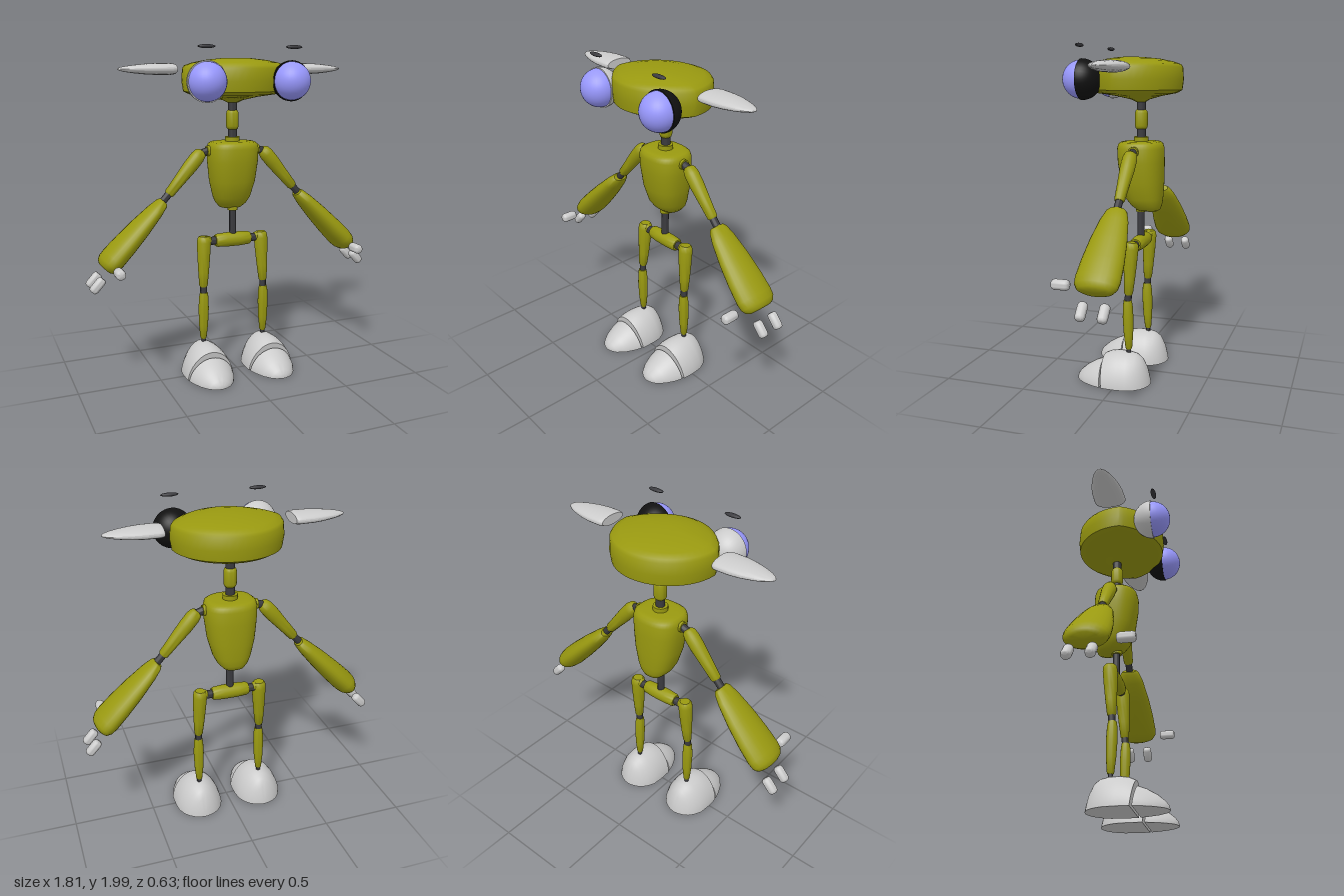
import * as THREE from 'three';
import { toCreasedNormals } from 'three/addons/utils/BufferGeometryUtils.js';

const mat = (color) => new THREE.MeshStandardMaterial({ color, side: THREE.DoubleSide });

export function createModel() {
  const model = new THREE.Group();
  const olive = mat(0x999910), grey = mat(0xcccccc), dark = mat(0x3a3a3e);
  const blue = mat(0x9999ff), black = mat(0x111111);
  const V = (x, y, z) => new THREE.Vector3(x, y, z);

  const add = (name, geometry, material, parent = model) => {
    const mesh = new THREE.Mesh(geometry, material);
    mesh.name = name;
    parent.add(mesh);
    return mesh;
  };

  // Skin over equal-length rings, closed at both ends
  function loft(rings, crease = 0.7) {
    const n = rings[0].length, pos = [], index = [];
    rings.forEach((ring) => ring.forEach((p) => pos.push(p.x, p.y, p.z)));
    for (let i = 0; i < rings.length - 1; i++) {
      for (let j = 0; j < n; j++) {
        const a = i * n + j, b = i * n + (j + 1) % n;
        index.push(a, a + n, b, b, a + n, b + n);
      }
    }
    [0, rings.length - 1].forEach((r, end) => {
      const c = rings[r].reduce((sum, p) => sum.add(p), V(0, 0, 0)).divideScalar(n);
      const k = pos.length / 3;
      pos.push(c.x, c.y, c.z);
      for (let j = 0; j < n; j++) {
        const a = r * n + j, b = r * n + (j + 1) % n;
        if (end) index.push(k, b, a); else index.push(k, a, b);
      }
    });
    const g = new THREE.BufferGeometry();
    g.setAttribute('position', new THREE.Float32BufferAttribute(pos, 3));
    g.setIndex(index);
    return toCreasedNormals(g, crease);
  }

  const ringOf = (n, f) => Array.from({ length: n }, (_, i) => f((i / n) * Math.PI * 2));
  const spow = (v, p) => Math.sign(v) * Math.abs(v) ** p;

  // Turned part between two points; profile is [fraction of length, radius]
  function limb(name, from, to, profile, material, zScale = 1) {
    const d = to.clone().sub(from), len = d.length();
    const pts = [[profile[0][0], 0], ...profile, [profile[profile.length - 1][0], 0]]
      .map(([t, r]) => new THREE.Vector2(r, t * len));
    const mesh = add(name, toCreasedNormals(new THREE.LatheGeometry(pts, 24), 0.8), material);
    mesh.position.copy(from);
    mesh.quaternion.setFromUnitVectors(V(0, 1, 0), d.normalize());
    mesh.scale.z = zScale;
    return mesh;
  }
  const rod = (name, from, to, r, material = dark) => limb(name, from, to, [[0, r], [1, r]], material);
  const rounded = (r) => [[0, r * 0.65], [0.06, r * 0.88], [0.18, r], [0.82, r], [0.94, r * 0.88], [1, r * 0.65]];

  const Z = -0.07; // depth of the skeleton

  // Head: broad disc, round at the back and narrower at the front
  const headRows = [[1.67, 0.1], [1.685, 0.2], [1.705, 0.48], [1.722, 0.85], [1.74, 0.97], [1.8, 1],
    [1.87, 0.985], [1.887, 0.95], [1.902, 0.82], [1.918, 0.58], [1.928, 0.28], [1.93, 0.05]];
  add('head', loft(headRows.map(([y, s]) => ringOf(48, (a) => {
    const c = Math.cos(a), q = Math.sin(a);
    const z = q < 0 ? 0.315 * q : 0.235 * q ** 1.5;
    return V(0.325 * c * s, y, z * s + (y < 1.8 ? Z : 0) * (1 - s));
  }))), olive);

  // Neck
  rod('neckRod', V(0, 1.43, Z), V(0, 1.69, Z), 0.027);
  limb('neckSleeve', V(0, 1.51, Z), V(0, 1.627, Z), rounded(0.038), olive);
  rod('neckCollar', V(0, 1.43, Z), V(0, 1.467, Z), 0.044, olive);

  // Torso: rows of height, half width, front and back
  const torsoRows = [[1.022, 0.03, -0.09, -0.165], [1.032, 0.065, -0.05, -0.185], [1.06, 0.092, -0.015, -0.195],
    [1.1, 0.111, 0.015, -0.2], [1.2, 0.137, 0.045, -0.205], [1.32, 0.151, 0.062, -0.205],
    [1.4, 0.154, 0.065, -0.202], [1.425, 0.147, 0.06, -0.195], [1.437, 0.132, 0.045, -0.18], [1.441, 0.1, 0.02, -0.155]];
  add('torso', loft(torsoRows.map(([y, w, f, b]) => ringOf(40, (a) =>
    V(w * spow(Math.cos(a), 0.8), y, (f + b) / 2 + ((f - b) / 2) * spow(Math.sin(a), 0.8)))), 0.9), olive);

  // Waist and pelvis
  rod('waistRod', V(0, 0.86, Z), V(0, 1.06, Z), 0.022);
  rod('waistCollar', V(0, 1.018, Z), V(0, 1.06, Z), 0.032, olive);
  limb('pelvis', V(-0.115, 0.832, Z), V(0.115, 0.832, Z),
    [[0, 0.034], [0.05, 0.04], [0.3, 0.044], [0.7, 0.044], [0.95, 0.04], [1, 0.034]], olive);

  // Arch-shaped slices from front to back, leaning with height
  const archLoft = (rows) => loft(rows.map(([z, w, h]) => Array.from({ length: 25 }, (_, i) => {
    const a = (i / 24) * Math.PI, y = h * Math.abs(Math.sin(a)) ** 1.2;
    return V(w * Math.cos(a), y + 0.008, z + 0.12 * y);
  })), 0.6);
  const toe = archLoft([[0.262, 0.008, 0.006], [0.253, 0.04, 0.027], [0.235, 0.068, 0.048],
    [0.19, 0.103, 0.083], [0.13, 0.13, 0.116], [0.082, 0.143, 0.134]]);
  const heel = archLoft([[0.07, 0.147, 0.165], [0.03, 0.149, 0.183], [-0.02, 0.149, 0.191], [-0.08, 0.142, 0.19],
    [-0.125, 0.12, 0.182], [-0.155, 0.095, 0.16], [-0.175, 0.065, 0.115], [-0.187, 0.034, 0.06], [-0.192, 0.005, 0.01]]);

  // Ear: flattened blade with a blunt root and pointed tip, growing along +y
  const earRows = [[0, 0.88], [0.012, 0.97], [0.03, 1], [0.11, 0.98], [0.17, 0.88], [0.23, 0.7],
    [0.28, 0.49], [0.31, 0.29], [0.322, 0.12], [0.325, 0.02]];
  const ear = loft(earRows.map(([y, s]) => ringOf(28, (a) =>
    V(0.033 * s * Math.cos(a), y, 0.095 * s * Math.sin(a)))), 0.8);

  for (const s of [-1, 1]) {
    const side = s > 0 ? 'left' : 'right';
    const P = (x, y, z = Z) => V(s * x, y, z);

    // Eye, half-shell lid behind it, and brow
    add(side + 'Eye', new THREE.SphereGeometry(0.109, 32, 24), blue).position.set(s * 0.257, 1.8, 0.203);
    const lid = add(side + 'EyeLid',
      new THREE.SphereGeometry(0.116, 32, 16, 0, Math.PI * 2, 0, Math.PI / 2), s > 0 ? black : grey);
    lid.rotation.x = -Math.PI / 2;
    lid.position.set(s * 0.257, 1.8, 0.203);
    const rim = add(side + 'LidRim', new THREE.RingGeometry(0.106, 0.116, 32), s > 0 ? black : grey);
    rim.position.copy(lid.position);
    const brow = add(side + 'Brow', new THREE.SphereGeometry(1, 20, 12), dark);
    brow.scale.set(0.052, 0.011, 0.016);
    brow.position.set(s * 0.264, 1.989, 0.212);

    const earMesh = add(side + 'Ear', ear, grey);
    earMesh.rotation.z = -s * Math.PI / 2;
    earMesh.position.set(s * 0.375, 1.867, -0.035);

    // Arm
    rod(side + 'ShoulderSocket', P(0.12, 1.387), P(0.167, 1.387), 0.031, olive);
    rod(side + 'ShoulderJoint', P(0.15, 1.39), P(0.225, 1.365), 0.023);
    limb(side + 'UpperArm', P(0.195, 1.387), P(0.408, 1.14),
      [[0, 0.022], [0.04, 0.036], [0.14, 0.043], [0.35, 0.043], [0.7, 0.035], [0.97, 0.03], [1, 0.025]], olive);
    rod(side + 'Elbow', P(0.39, 1.16), P(0.47, 1.072), 0.022);
    limb(side + 'Forearm', P(0.44, 1.1), P(0.805, 0.732),
      [[0, 0.026], [0.03, 0.034], [0.15, 0.045], [0.4, 0.058], [0.65, 0.066], [0.85, 0.069], [0.93, 0.066],
        [0.98, 0.055], [1, 0.04]], olive, 1.8);

    // Floating fingers and thumb
    limb(side + 'Thumb', P(0.762, 0.747, 0.085), P(0.762, 0.747, 0.182), rounded(0.029), grey);
    for (const z of [-0.02, -0.14]) {
      limb(side + 'Finger', P(0.825, 0.682, z), P(0.89, 0.61, z), rounded(0.028), grey);
    }

    // Leg
    rod(side + 'HipJoint', P(0.1, 0.832), P(0.17, 0.832), 0.025);
    limb(side + 'HipSocket', P(0.143, 0.837), P(0.225, 0.837), rounded(0.028), olive);
    limb(side + 'Thigh', P(0.2, 0.55, -0.055), P(0.188, 0.865, Z),
      [[0, 0.021], [0.03, 0.026], [0.3, 0.033], [0.6, 0.039], [0.88, 0.043], [0.96, 0.04], [1, 0.03]], olive);
    rod(side + 'Knee', P(0.2, 0.5, -0.052), P(0.2, 0.56, -0.055), 0.021);
    limb(side + 'Shin', P(0.202, 0.215, -0.058), P(0.2, 0.515, -0.05),
      [[0, 0.016], [0.03, 0.02], [0.3, 0.028], [0.65, 0.032], [0.9, 0.029], [1, 0.024]], olive);
    rod(side + 'Ankle', P(0.202, 0.17, -0.058), P(0.202, 0.22, -0.058), 0.014);

    // Foot
    add(side + 'Heel', heel, grey).position.x = s * 0.202;
    add(side + 'Toe', toe, grey).position.x = s * 0.202;
  }
  return model;
}
